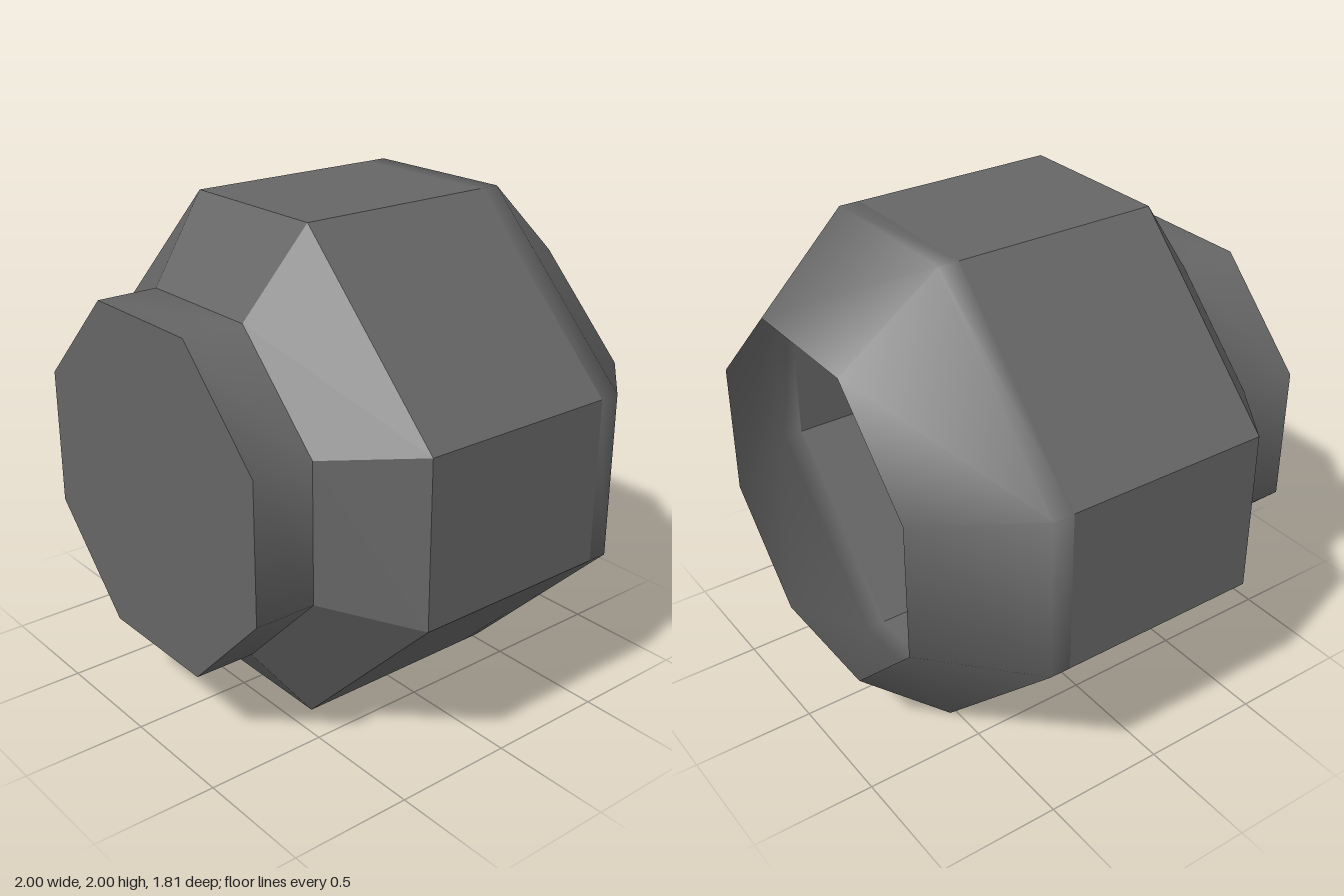
import * as THREE from 'three';

// Eight corners of a square of half size r whose corners are cut, leaving flats of half length f
const octagon = (r, f) => [
  [r, -f], [r, f], [f, r], [-f, r], [-r, f], [-r, -f], [-f, -r], [f, -r],
];

// Shell through octagonal sections [r, f, z], listed from front to back
function shell(sections, smooth) {
  const positions = [];
  const index = [];
  for (const [r, f, z] of sections) {
    for (const [x, y] of octagon(r, f)) positions.push(x, y, z);
  }
  for (let s = 0; s < sections.length - 1; s++) {
    for (let i = 0; i < 8; i++) {
      const j = (i + 1) % 8;
      const a = s * 8 + i, b = s * 8 + j;
      index.push(a + 8, b + 8, b, a + 8, b, a);
    }
  }
  let geometry = new THREE.BufferGeometry();
  geometry.setAttribute('position', new THREE.Float32BufferAttribute(positions, 3));
  geometry.setIndex(index);
  if (!smooth) geometry = geometry.toNonIndexed();
  geometry.computeVertexNormals();
  return geometry;
}

export function createModel() {
  const model = new THREE.Group();
  model.name = 'octagonalHousing';
  const grey = new THREE.MeshStandardMaterial({ color: 0x666666, side: THREE.DoubleSide });
  grey.name = 'dark grey';

  const add = (name, geometry) => {
    const mesh = new THREE.Mesh(geometry, grey);
    mesh.name = name;
    mesh.position.y = 1;
    model.add(mesh);
    return mesh;
  };

  const outer = [1, 0.333];
  const inner = [0.67, 0.28];

  // Closed front collar
  const cap = new THREE.Shape(octagon(...inner).map(([x, y]) => new THREE.Vector2(x, y)));
  add('frontCap', new THREE.ShapeGeometry(cap)).position.z = 0.905;
  add('frontCollar', shell([[...inner, 0.905], [...inner, 0.655]], true));

  // Faceted shoulder and main body
  add('frontShoulder', shell([[...inner, 0.655], [...outer, 0.405]], false));
  add('body', shell([[...outer, 0.405], [...outer, -0.44]], false));

  // Hollow rear funnel with a softly shaded taper to the open mouth
  add('rearTaper', shell([[...outer, -0.44], [...outer, -0.525], [...inner, -0.905]], true));

  return model;
}
